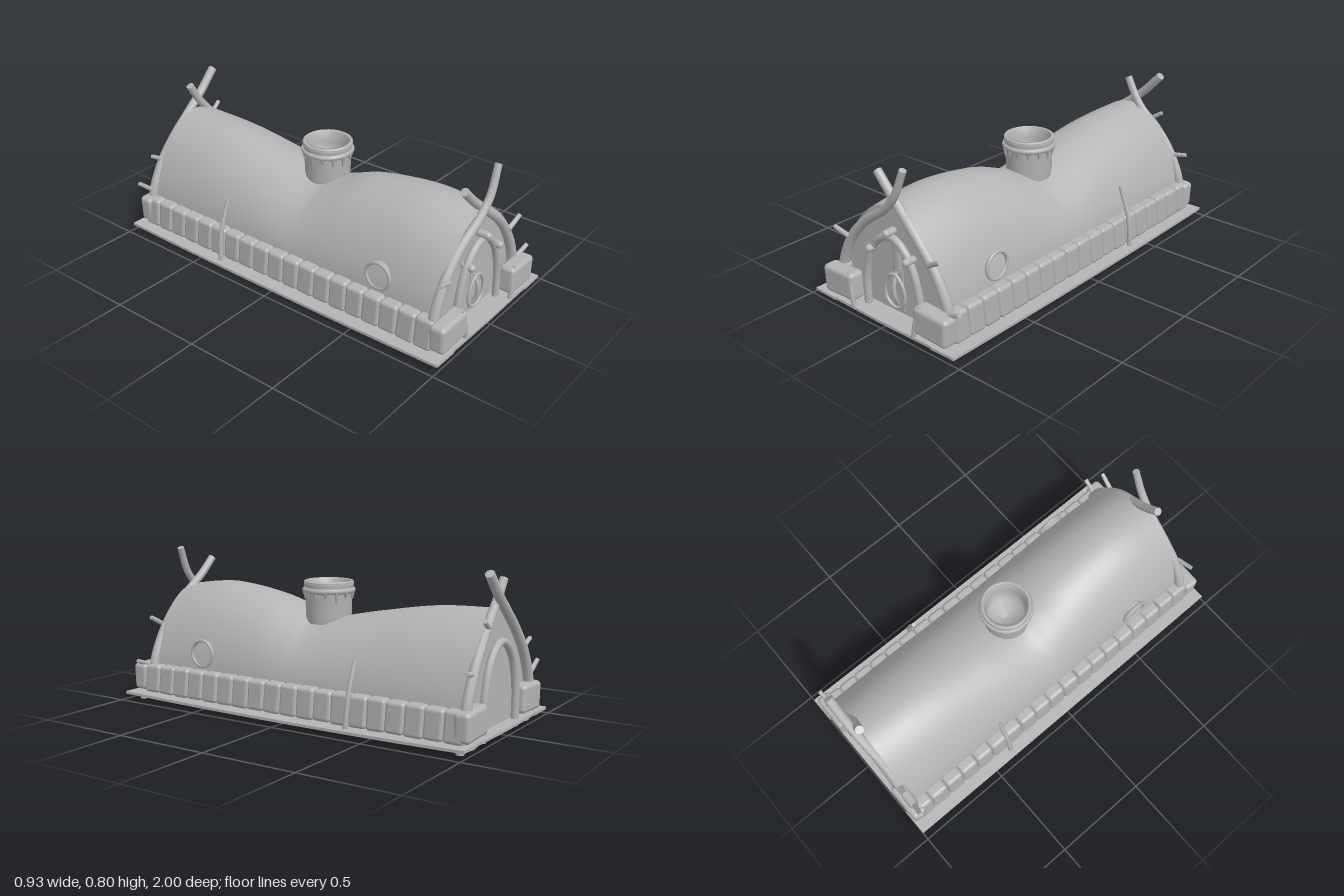
import * as THREE from 'three';
import { RoundedBoxGeometry } from 'three/addons/geometries/RoundedBoxGeometry.js';

export function createModel() {
  const root = new THREE.Group();
  root.name = 'longhouse';
  const clay = new THREE.MeshStandardMaterial({ color: 0xb4b4b4, side: THREE.DoubleSide });
  clay.name = 'plain grey';
  const V = (x, y, z) => new THREE.Vector3(x, y, z);

  let seed = 7;
  const rnd = () => ((seed = (seed * 16807) % 2147483647) / 2147483647) * 2 - 1;

  function add(name, geo, x = 0, y = 0, z = 0) {
    const m = new THREE.Mesh(geo, clay);
    m.name = name;
    m.position.set(x, y, z);
    root.add(m);
    return m;
  }

  // Round log along a smooth path, with capped ends and optional taper
  function log(name, pts, r, rEnd = r, closed = false) {
    const curve = new THREE.CatmullRomCurve3(pts.map(p => V(...p)), closed);
    const seg = pts.length * 6, sides = 10;
    const geo = new THREE.TubeGeometry(curve, seg, r, sides, closed);
    const p = geo.attributes.position, v = V();
    for (let i = 0; i <= seg; i++) {
      const c = curve.getPointAt(i / seg), k = THREE.MathUtils.lerp(1, rEnd / r, i / seg);
      for (let j = 0; j <= sides; j++) {
        const n = i * (sides + 1) + j;
        v.fromBufferAttribute(p, n).sub(c).multiplyScalar(k).add(c);
        p.setXYZ(n, v.x, v.y, v.z);
      }
    }
    add(name, geo);
    if (closed) return;
    for (const t of [0, 1]) {
      const cap = add(name + 'End', new THREE.CircleGeometry(t ? rEnd : r, sides));
      cap.position.copy(curve.getPointAt(t));
      cap.quaternion.setFromUnitVectors(V(0, 0, 1), curve.getTangentAt(t).multiplyScalar(t ? 1 : -1));
    }
  }

  // Gently warped ground slab, a frame open below the hall
  function slabStrip(w, d, x, z) {
    const g = new THREE.BoxGeometry(w, 0.014, d, Math.ceil(w * 16), 1, Math.ceil(d * 16)).translate(x, 0.027, z);
    const p = g.attributes.position;
    for (let i = 0; i < p.count; i++) {
      const px = p.getX(i), pz = p.getZ(i);
      p.setY(i, p.getY(i) + (0.01 * pz * pz - 0.003) * Math.abs(px) / 0.47);
    }
    g.computeVertexNormals();
    add('groundSlab', g);
  }
  for (const s of [1, -1]) {
    slabStrip(0.14, 2, s * 0.396, 0);
    slabStrip(0.652, 0.19, 0, s * 0.9);
  }

  // Cross-section of the hall: a slightly pointed arch, more pointed at the gables
  const base = 0.16, half = 0.342;
  const arch = (a, top, z) => [half * Math.cos(a),
    base + (top - base) * Math.pow(Math.max(0, Math.sin(a)), 1.13 + 0.2 * z * z)];

  // Sagging roof shell
  const ridge = new THREE.SplineCurve([
    [0.9, 0.585], [0.62, 0.615], [0.3, 0.57], [0.1, 0.5], [-0.02, 0.475], [-0.3, 0.528], [-0.62, 0.58], [-0.94, 0.592],
  ].map(p => new THREE.Vector2(...p)));
  const NU = 32, NV = 48;
  const roof = new THREE.PlaneGeometry(1, 1, NU, NV);
  for (let j = 0, n = 0; j <= NV; j++) {
    const s = ridge.getPoint(j / NV);
    for (let i = 0; i <= NU; i++, n++) {
      const [x, y] = arch(Math.PI * i / NU, s.y, s.x);
      roof.attributes.position.setXYZ(n, x, y, s.x);
    }
  }
  roof.computeVertexNormals();
  add('roof', roof);

  // End walls
  for (const [name, z, top] of [['frontWall', 0.882, 0.585], ['backWall', -0.928, 0.588]]) {
    const s = new THREE.Shape();
    s.moveTo(-half, 0.03).lineTo(half, 0.03);
    for (let i = 0; i <= 32; i++) s.lineTo(...arch(Math.PI * i / 32, top, z));
    add(name, new THREE.ShapeGeometry(s), 0, 0, z);
  }

  // Stone footing along both long sides
  const count = 19, step = 1.88 / count;
  for (const sx of [1, -1]) {
    for (let i = 0; i < count; i++) {
      const g = new RoundedBoxGeometry(0.073, 0.15 + 0.004 * rnd(), step, 3, 0.018);
      const p = g.attributes.position;
      for (let k = 0; k < p.count; k++) p.setX(k, p.getX(k) - sx * p.getY(k) * 0.12);
      const b = add('footingStone', g, sx * 0.365, 0.112, 0.92 - step * (i + 0.5));
      b.rotation.x = 0.03 * rnd();
    }
    // Large corner stones at both ends
    for (const [z, d] of [[0.95, 0.085], [-0.955, 0.08]]) {
      const s = add('cornerStone', new RoundedBoxGeometry(0.205, 0.142, d, 3, 0.022), sx * 0.307, 0.12, z);
      s.rotation.z = -sx * 0.04;
    }
    // Leaning prop
    log('sideProp', [[sx * 0.425, 0.015, -0.37], [sx * 0.405, 0.18, -0.375], [sx * 0.345, 0.35, -0.375]], 0.014, 0.01);
    // Round window: rim and inward sleeve
    add('windowRim', new THREE.TorusGeometry(0.068, 0.009, 8, 28), sx * 0.333, 0.27, 0.57).rotation.y = Math.PI / 2;
    add('windowSleeve', new THREE.CylinderGeometry(0.066, 0.066, 0.19, 24, 1, true), sx * 0.24, 0.27, 0.57)
      .rotation.z = Math.PI / 2;
    // Thorn stakes beside the door
    log('doorStake', [[sx * 0.203, 0.035, 0.985], [sx * 0.217, 0.12, 0.985], [sx * 0.24, 0.2, 0.975]], 0.012, 0.007);
  }

  // Crossed gable logs
  log('frontGableLog', [[-0.375, 0.03, 0.9], [-0.35, 0.2, 0.9], [-0.285, 0.34, 0.9], [-0.175, 0.46, 0.9],
    [-0.035, 0.56, 0.91], [0.045, 0.65, 0.915], [0.105, 0.79, 0.91]], 0.029, 0.018);
  log('frontGableLog', [[0.36, 0.03, 0.9], [0.338, 0.2, 0.9], [0.27, 0.345, 0.9], [0.165, 0.475, 0.9],
    [0.05, 0.572, 0.885], [-0.03, 0.64, 0.875], [-0.11, 0.72, 0.87]], 0.028, 0.021);
  log('backGableLog', [[-0.37, 0.03, -0.95], [-0.343, 0.2, -0.95], [-0.265, 0.36, -0.95], [-0.16, 0.48, -0.95],
    [-0.03, 0.58, -0.96], [0.07, 0.66, -0.965], [0.175, 0.77, -0.965]], 0.027, 0.023);
  log('backGableLog', [[0.37, 0.03, -0.95], [0.343, 0.2, -0.95], [0.275, 0.35, -0.95], [0.18, 0.475, -0.945],
    [0.08, 0.57, -0.935], [0.02, 0.65, -0.94], [-0.025, 0.73, -0.945]], 0.027, 0.021);

  // Twigs on the gable logs
  for (const [x0, y0, x1, y1, z] of [
    [-0.28, 0.35, -0.37, 0.378, 0.92], [0.25, 0.385, 0.33, 0.43, 0.92], [0.35, 0.175, 0.44, 0.21, 0.92],
    [-0.36, 0.225, -0.43, 0.285, -0.95], [-0.26, 0.37, -0.325, 0.41, -0.95],
    [0.14, 0.52, 0.2, 0.56, -0.95], [0.28, 0.335, 0.375, 0.35, -0.95],
  ]) log('twig', [[x0, y0, z], [x1, y1, z + 0.01 * Math.sign(z)]], 0.013, 0.011);

  // Inner arches framing the doorways
  for (const z of [0.915, -0.955]) {
    log('doorArch', [[-0.178, 0.005, z], [-0.172, 0.2, z], [-0.125, 0.345, z], [-0.055, 0.42, z], [0, 0.44, z],
      [0.06, 0.422, z], [0.128, 0.345, z], [0.175, 0.2, z], [0.184, 0.005, z]], 0.02, 0.018);
  }
  // Rounded pegs on the front arch
  for (const [x, y] of [[0.007, 0.467], [-0.118, 0.352], [0.128, 0.362]]) {
    add('archPeg', new THREE.CapsuleGeometry(0.019, 0.04, 6, 12), x, y, 0.92).rotation.x = Math.PI / 2;
  }

  // Door fittings: plate, strap, pull and oval ring
  add('doorPlate', new THREE.BoxGeometry(0.066, 0.215, 0.008), 0.008, 0.158, 0.884);
  add('doorStrap', new THREE.CylinderGeometry(0.022, 0.03, 0.17, 12), 0.005, 0.34, 0.884).scale.z = 0.3;
  log('doorPull', [[0, 0.25, 0.885], [0.003, 0.19, 0.91], [0.007, 0.13, 0.91], [0.002, 0.075, 0.885]], 0.01);
  log('doorRing', Array.from({ length: 10 }, (_, i) => {
    const a = i / 10 * Math.PI * 2;
    return [0.002 + 0.066 * Math.cos(a) * (1 - 0.15 * Math.sin(a)), 0.157 + 0.086 * Math.sin(a), 0.905];
  }), 0.008, 0.008, true);

  // Chimney pot with a hollow bowl
  const cx = 0.025, cz = -0.015;
  const pot = [[0.112, 0.45], [0.117, 0.5], [0.119, 0.6], [0.127, 0.645], [0.125, 0.662], [0.105, 0.662],
    [0.1, 0.6], [0.09, 0.5], [0, 0.48]].map(p => new THREE.Vector2(...p));
  add('chimney', new THREE.LatheGeometry(pot, 32), cx, 0, cz);
  for (const [r, t, y] of [[0.122, 0.014, 0.617], [0.118, 0.009, 0.656]]) {
    add('chimneyBand', new THREE.TorusGeometry(r, t, 8, 32), cx, y, cz).rotation.x = Math.PI / 2;
  }
  for (let i = 0; i < 14; i++) {
    const a = i / 14 * Math.PI * 2, h = 0.05 + 0.015 * rnd();
    const drip = add('chimneyDrip', new THREE.ConeGeometry(0.013, h, 8),
      cx + 0.122 * Math.cos(a), 0.612 - h / 2, cz + 0.122 * Math.sin(a));
    drip.rotation.x = Math.PI;
  }

  // Short feet below the slab
  for (const z of [0.93, -0.95]) {
    for (const [x, r] of [[-0.31, 0.04], [-0.18, 0.02], [0.18, 0.02], [0.3, 0.045], [0.4, 0.02]]) {
      add('foot', new THREE.CylinderGeometry(r, r, 0.025, 12), x, 0.0125, z).scale.z = 0.02 / r;
    }
  }
  return root;
}
